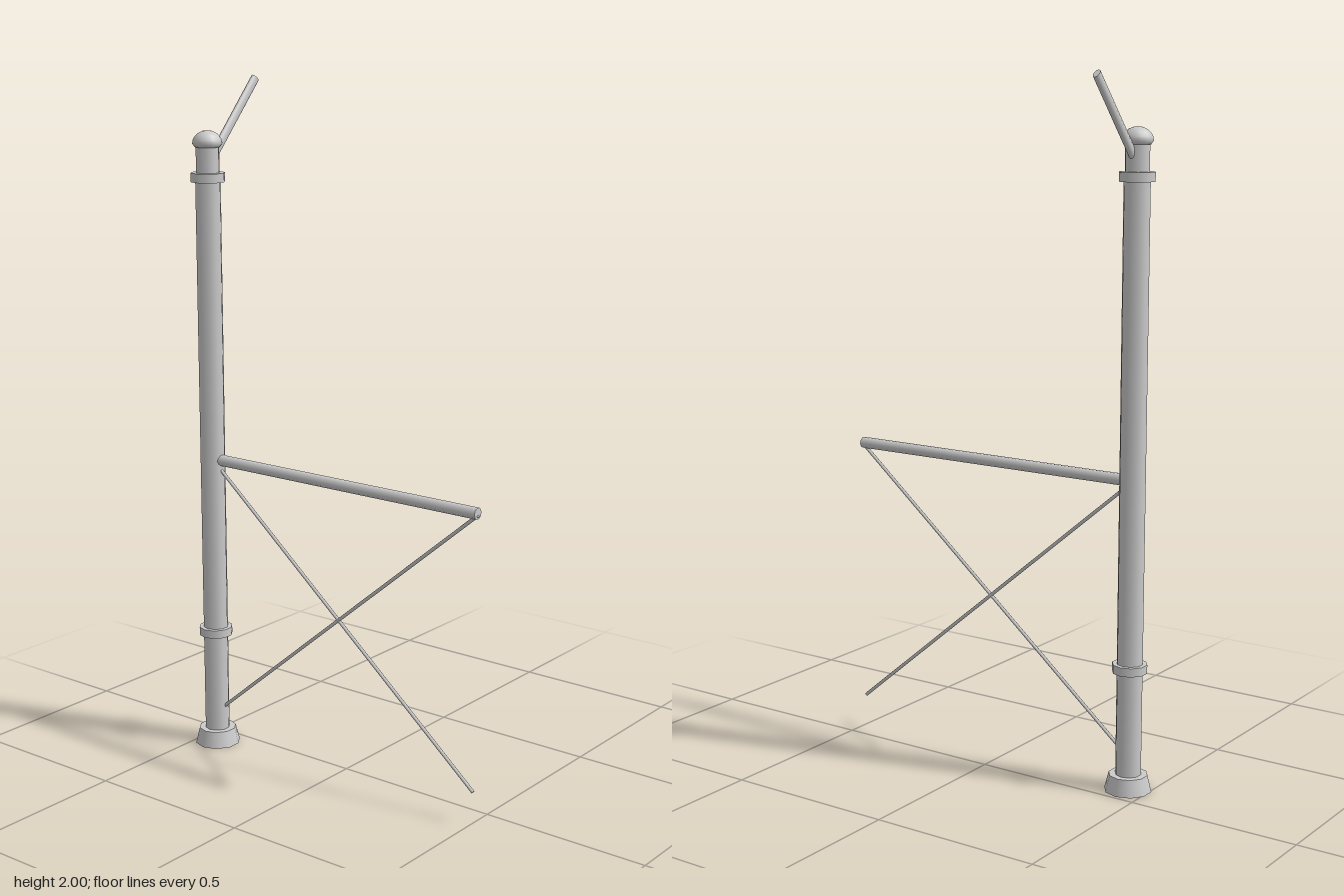
import * as THREE from 'three';

const material = new THREE.MeshStandardMaterial({ color: 0xcccccc });
const POST_X = -0.441, POST_Z = 0.076, SIDES = 10;

export function createModel() {
  const model = new THREE.Group();

  const add = (name, geometry, x, y, z) => {
    const mesh = new THREE.Mesh(geometry, material);
    mesh.name = name;
    mesh.position.set(x, y, z);
    model.add(mesh);
    return mesh;
  };

  // Upright section of the post between two heights
  const section = (name, rTop, rBottom, y0, y1) =>
    add(name, new THREE.CylinderGeometry(rTop, rBottom, y1 - y0, SIDES), POST_X, (y0 + y1) / 2, POST_Z);

  // Round bar from one point to another
  const bar = (name, a, b, radius, sides) => {
    const from = new THREE.Vector3(...a), to = new THREE.Vector3(...b);
    const dir = to.clone().sub(from);
    const mid = from.clone().add(to).multiplyScalar(0.5);
    const mesh = add(name, new THREE.CylinderGeometry(radius, radius, dir.length(), sides), mid.x, mid.y, mid.z);
    mesh.quaternion.setFromUnitVectors(new THREE.Vector3(0, 1, 0), dir.normalize());
    return mesh;
  };

  // Post with flared foot, two bands and a narrower neck
  section('base', 0.056, 0.068, 0, 0.048);
  section('post', 0.037, 0.037, 0.04, 1.72);
  section('lowerBand', 0.05, 0.05, 0.347, 0.372);
  section('upperBand', 0.05, 0.05, 1.707, 1.733);
  section('neck', 0.034, 0.034, 1.72, 1.82);

  // Domed cap with a tapered underside
  const profile = [new THREE.Vector2(0, 1.805), new THREE.Vector2(0.036, 1.805)];
  for (let i = 0; i <= 5; i++) {
    const t = (i / 5) * Math.PI / 2;
    profile.push(new THREE.Vector2(0.043 * Math.cos(t), 1.815 + 0.037 * Math.sin(t)));
  }
  add('domeCap', new THREE.LatheGeometry(profile, 16), POST_X, 0, POST_Z);

  // Slanted arm behind the cap, flattened sideways
  const arm = bar('slantedArm', [POST_X, 1.775, 0.055], [POST_X, 1.989, -0.134], 0.0145, 10);
  arm.scale.x = 0.65;

  // Side rail with crossed braces below it
  bar('rail', [-0.415, 0.893, POST_Z], [0.502, 0.893, POST_Z], 0.0165, 10);
  bar('fallingBrace', [-0.415, 0.868, POST_Z], [0.502, 0.095, POST_Z], 0.005, 8);
  bar('risingBrace', [-0.415, 0.117, POST_Z], [0.502, 0.888, POST_Z], 0.005, 8);

  return model;
}
